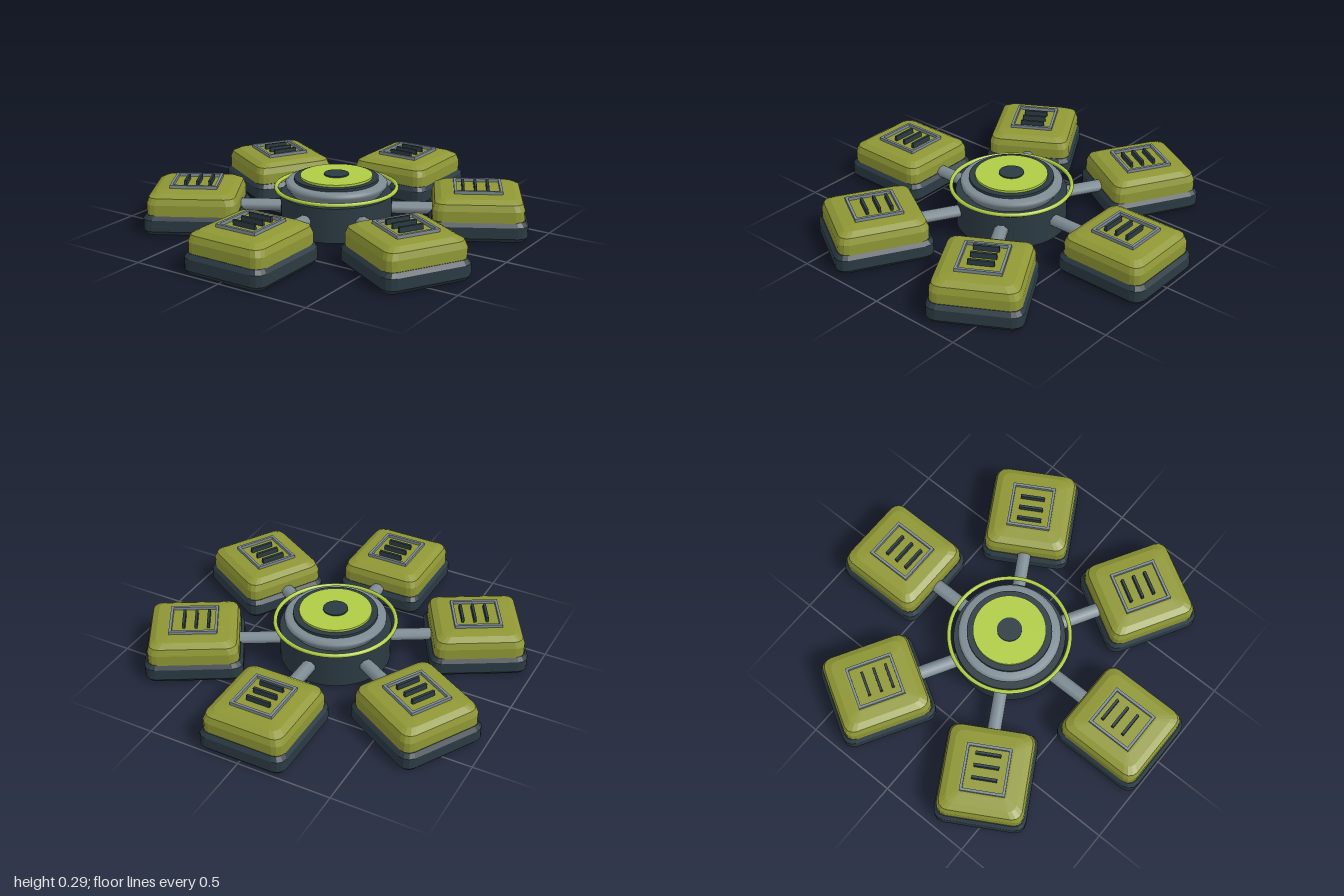
import * as THREE from 'three';

// Closed loft of rounded rectangles; each ring is [halfWidth, halfDepth, y, cornerRadius]
function loft(rings, cornerSteps = 3) {
  const loops = rings.map(([w, d, y, r]) => {
    const pts = [];
    for (let q = 0; q < 4; q++) {
      const sx = q === 0 || q === 3 ? 1 : -1;
      const sz = q < 2 ? 1 : -1;
      for (let i = 0; i <= cornerSteps; i++) {
        const a = (q + i / cornerSteps) * Math.PI / 2;
        pts.push([sx * (w - r) + r * Math.cos(a), y, sz * (d - r) + r * Math.sin(a)]);
      }
    }
    return pts;
  });
  const pos = [];
  const tri = (...corners) => corners.forEach((c) => pos.push(...c));
  const n = loops[0].length;
  const last = loops.length - 1;
  for (let j = 0; j < n; j++) {
    const k = (j + 1) % n;
    for (let i = 0; i < last; i++) {
      const lo = loops[i], up = loops[i + 1];
      tri(lo[j], up[j], up[k]);
      tri(lo[j], up[k], lo[k]);
    }
    tri([0, rings[0][2], 0], loops[0][j], loops[0][k]);
    tri([0, rings[last][2], 0], loops[last][k], loops[last][j]);
  }
  const geo = new THREE.BufferGeometry();
  geo.setAttribute('position', new THREE.Float32BufferAttribute(pos, 3));
  geo.computeVertexNormals();
  return geo;
}

// Flat rectangular frame lying on the xz plane
function frameGeometry(w, d, border, height) {
  const rect = (Type, x, y) => {
    const s = new Type();
    s.moveTo(-x, -y);
    s.lineTo(x, -y);
    s.lineTo(x, y);
    s.lineTo(-x, y);
    s.closePath();
    return s;
  };
  const shape = rect(THREE.Shape, w, d);
  shape.holes.push(rect(THREE.Path, w - border, d - border));
  return new THREE.ExtrudeGeometry(shape, { depth: height, bevelEnabled: false }).rotateX(-Math.PI / 2);
}

export function createModel() {
  const material = (name, color) => {
    const m = new THREE.MeshStandardMaterial({ color });
    m.name = name;
    return m;
  };
  const olive = material('olive', 0x8f9735);
  const dark = material('darkSlate', 0x2b3a42);
  const grey = material('steelGrey', 0x7d8b93);
  const lime = material('lime', 0xb0cc45);

  const model = new THREE.Group();
  model.name = 'sixPodHub';
  const add = (parent, name, geo, mat, x = 0, y = 0, z = 0) => {
    const mesh = new THREE.Mesh(geo, mat);
    mesh.name = name;
    mesh.position.set(x, y, z);
    parent.add(mesh);
    return mesh;
  };

  // Central hub
  const hub = new THREE.Group();
  hub.name = 'hub';
  model.add(hub);
  const disc = (name, r, y0, y1, mat) =>
    add(hub, name, new THREE.CylinderGeometry(r, r, y1 - y0, 48), mat, 0, (y0 + y1) / 2, 0);
  disc('hubDrum', 0.294, 0, 0.185, dark);
  const collar = [[0.235, 0.18], [0.25, 0.2], [0.268, 0.225], [0.268, 0.24], [0.255, 0.252], [0.2, 0.252]];
  const collarGeo = new THREE.LatheGeometry(collar.map(([r, y]) => new THREE.Vector2(r, y)), 48);
  add(hub, 'hubCollar', collarGeo, grey);
  disc('hubDeck', 0.222, 0.24, 0.267, dark);
  disc('hubLamp', 0.19, 0.26, 0.279, lime);
  disc('hubButton', 0.065, 0.27, 0.286, dark);
  add(hub, 'hubRing', new THREE.TorusGeometry(0.317, 0.011, 8, 64).rotateX(Math.PI / 2), lime, 0, 0.213, 0);

  // Shared pod shapes
  const baseGeo = loft([
    [0.22, 0.237, 0, 0.04], [0.238, 0.255, 0.022, 0.055],
    [0.238, 0.255, 0.082, 0.055], [0.222, 0.239, 0.105, 0.045],
  ]);
  const shellGeo = loft([
    [0.224, 0.236, 0.095, 0.05], [0.224, 0.236, 0.16, 0.05], [0.213, 0.225, 0.194, 0.05],
    [0.18, 0.192, 0.213, 0.04], [0.125, 0.135, 0.22, 0.02],
  ]);
  const frameGeo = frameGeometry(0.116, 0.125, 0.014, 0.03);
  const slotGeo = new THREE.BoxGeometry(0.13, 0.04, 0.014);
  const armGeo = new THREE.CylinderGeometry(0.038, 0.038, 0.27, 8)
    .rotateY(Math.PI / 8).rotateX(Math.PI / 2).scale(1, 0.85, 1);

  // Six pods on arms around the hub
  for (let i = 0; i < 6; i++) {
    const arm = new THREE.Group();
    arm.name = `podArm${i + 1}`;
    arm.rotation.y = i * Math.PI / 3;
    model.add(arm);
    add(arm, 'arm', armGeo, grey, 0, 0.104, 0.395).material.flatShading = false;
    const pod = new THREE.Group();
    pod.name = 'pod';
    pod.position.z = 0.74;
    arm.add(pod);
    add(pod, 'podBase', baseGeo, dark);
    add(pod, 'podShell', shellGeo, olive);
    add(pod, 'podFrame', frameGeo, grey, 0, 0.207, 0);
    for (const z of [-0.064, 0, 0.064]) add(pod, 'ventSlot', slotGeo, dark, 0, 0.228, z - 0.014);
  }
  return model;
}
